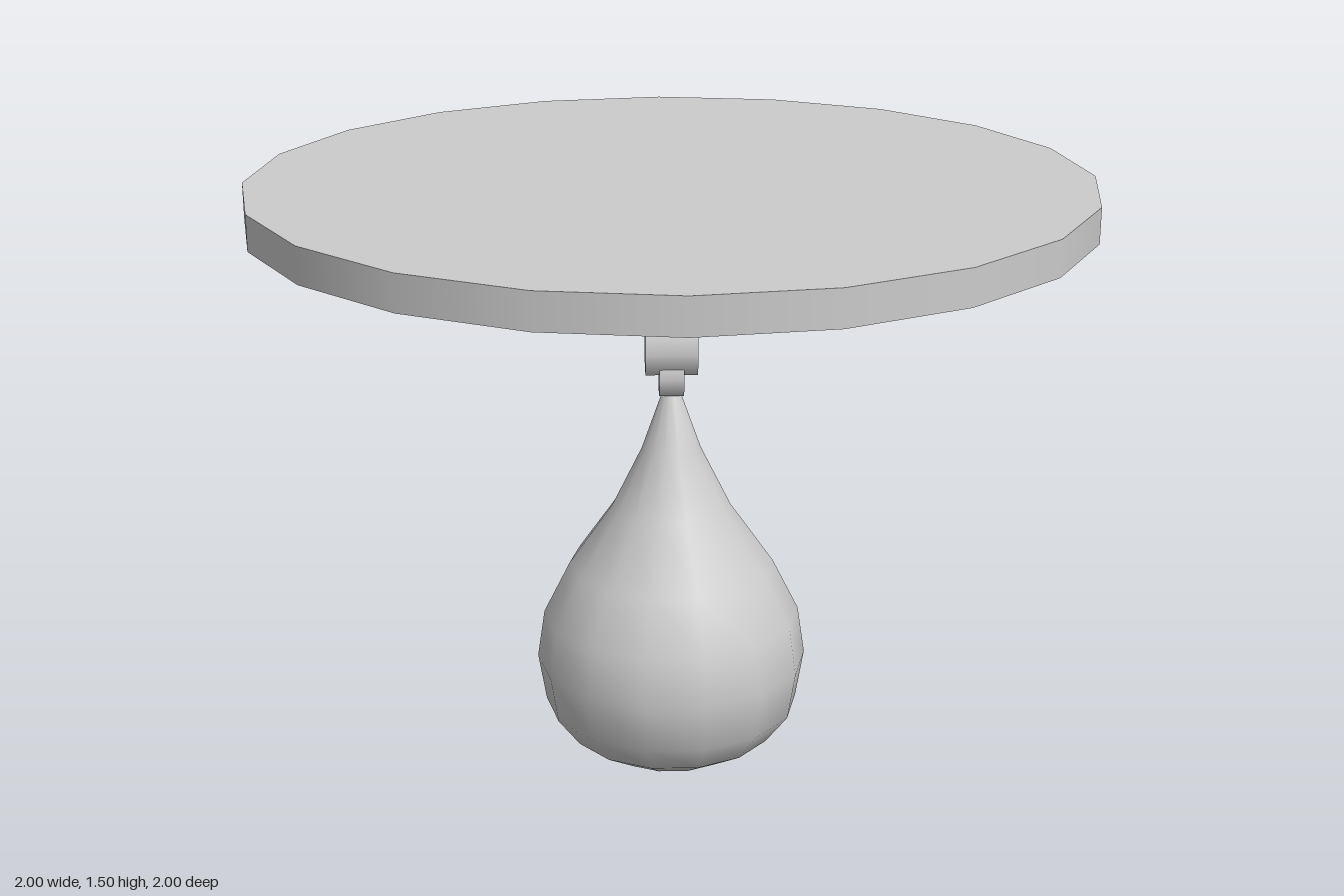
import * as THREE from 'three';

const material = new THREE.MeshStandardMaterial({ color: 0xcccccc });

export function createModel() {
  const model = new THREE.Group();

  const add = (name, geometry, y) => {
    const mesh = new THREE.Mesh(geometry, material);
    mesh.name = name;
    mesh.position.y = y;
    model.add(mesh);
  };
  // Upright disc or rod with a corner on the x axis
  const upright = (r, bottom, top, sides) =>
    new THREE.CylinderGeometry(r, r, top - bottom, sides).rotateY(Math.PI / 2);
  // Hexagonal barrel lying along x
  const barrel = (r, length) =>
    new THREE.CylinderGeometry(r, r, length, 6).rotateZ(Math.PI / 2);

  // Round rebound board and the mounting plate below it
  add('board', upright(1, 1.41, 1.495, 20), 1.4525);
  add('mountingPlate', upright(0.252, 1.385, 1.412, 14), 1.3985);

  // Hanging rod and swivel joint
  add('rod', upright(0.043, 1.09, 1.39, 8), 1.24);
  add('swivelBarrel', barrel(0.067, 0.126), 1.083);
  add('swivelPin', barrel(0.055, 0.06), 1.018);

  // Teardrop punching bag
  const profile = [
    [0, 0], [0.165, 0.03], [0.258, 0.085], [0.315, 0.16], [0.335, 0.28],
    [0.317, 0.4], [0.252, 0.53], [0.146, 0.68], [0.072, 0.83], [0.021, 0.975], [0, 0.98],
  ].map(([r, y]) => new THREE.Vector2(r, y));
  add('bag', new THREE.LatheGeometry(profile, 14).rotateY(Math.PI / 2), 0);

  return model;
}
